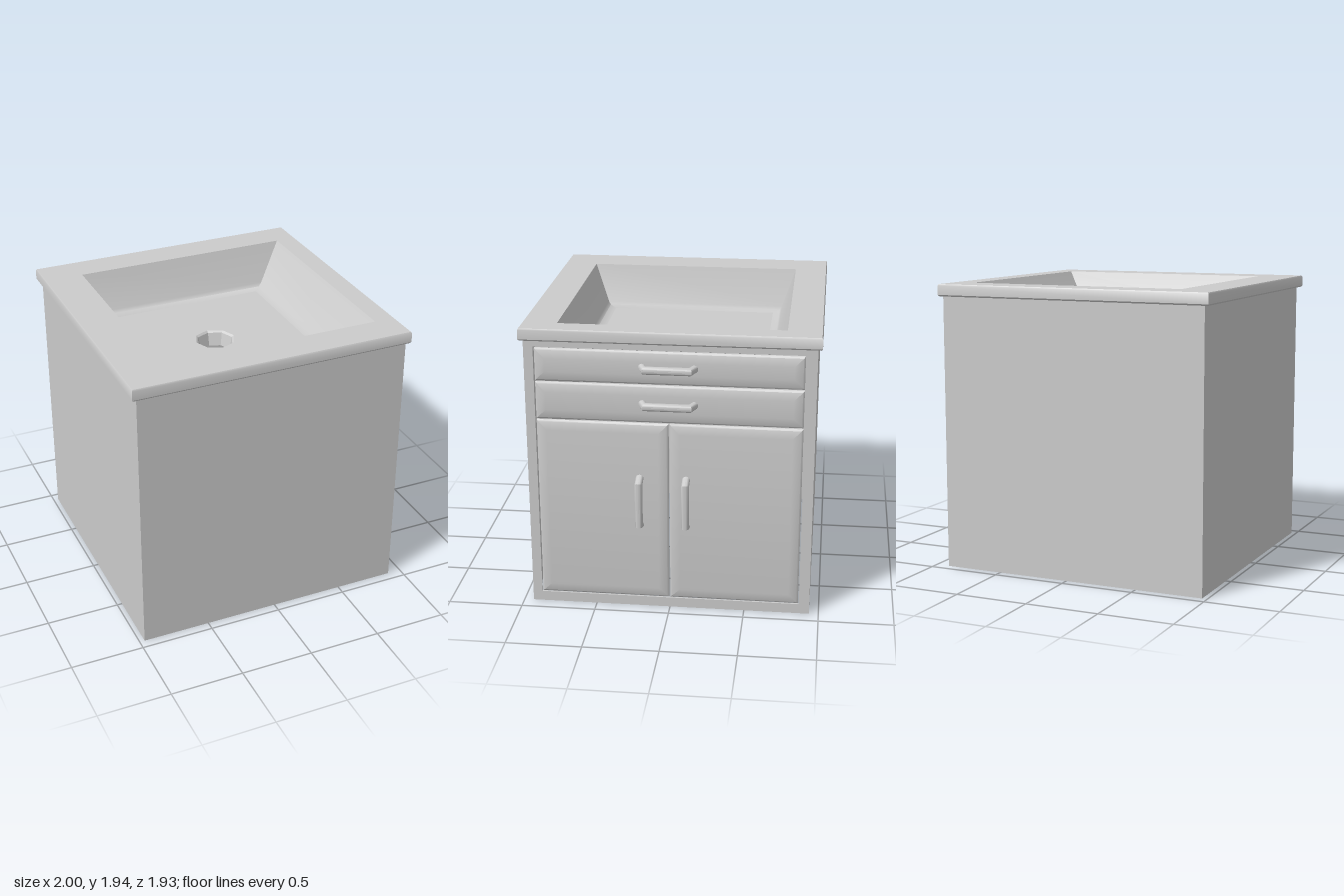
import * as THREE from 'three';
import { toCreasedNormals } from 'three/addons/utils/BufferGeometryUtils.js';

const material = new THREE.MeshStandardMaterial({ color: 0xcccccc, side: THREE.DoubleSide });

function add(parent, name, geometry) {
  const mesh = new THREE.Mesh(geometry, material);
  mesh.name = name;
  parent.add(mesh);
  return mesh;
}

// Skin over a row of closed loops of [x, y, z]; the last loop can be filled.
function loft(loops, { cap = false, crease = 0.6 } = {}) {
  const n = loops[0].length;
  const index = [];
  for (let i = 0; i < loops.length - 1; i++) {
    for (let j = 0; j < n; j++) {
      const a = i * n + j, b = i * n + (j + 1) % n;
      index.push(a, b, a + n, b, b + n, a + n);
    }
  }
  const last = (loops.length - 1) * n;
  if (cap) for (let j = 1; j < n - 1; j++) index.push(last, last + j, last + j + 1);
  const geometry = new THREE.BufferGeometry();
  geometry.setAttribute('position', new THREE.Float32BufferAttribute(loops.flat(2), 3));
  geometry.setIndex(index);
  return toCreasedNormals(geometry, crease);
}

function rectPath(PathType, x0, x1, y0, y1) {
  return new PathType([[x0, y0], [x1, y0], [x1, y1], [x0, y1]].map(p => new THREE.Vector2(...p)));
}

const flatRect = (x0, x1, z0, z1, y) => [[x0, y, z0], [x0, y, z1], [x1, y, z1], [x1, y, z0]];

// Pillow-shaped drawer or door front facing +x
function panel(z0, z1, y0, y1) {
  const g = 0.004;
  const ring = (x, d) => [[y0 + d, z0 + d], [y1 - d, z0 + d], [y1 - d, z1 - d], [y0 + d, z1 - d]]
    .map(([y, z]) => [x, y, z]);
  return loft([ring(0.885, g), ring(0.9, g), ring(0.91, 0.015), ring(0.919, 0.07)], { cap: true });
}

// Bent bar handle along z, standing out in +x, with mitred corners
function handle() {
  const sides = 16, r = 0.026;
  const stations = [ // along, out, then the in-plane half width of the section
    [-0.176, -0.01, -r, 0], [-0.145, 0.069, -0.014, r],
    [0.145, 0.069, 0.014, r], [0.176, -0.01, r, 0],
  ];
  return loft(stations.map(([u, out, du, dOut]) => Array.from({ length: sides }, (_, k) => {
    const t = k / sides * Math.PI * 2, c = Math.cos(t);
    return [out + c * dOut, -r * Math.sin(t), u + c * du];
  })), { crease: 0.7 });
}

export function createModel() {
  const model = new THREE.Group();
  model.name = 'sinkCabinet';

  // Cabinet: three thin walls, open underneath
  const cabinet = new THREE.Group();
  cabinet.name = 'cabinet';
  model.add(cabinet);
  const x0 = -0.965, x1 = 0.905, zSide = 0.937, top = 1.865;
  for (const s of [1, -1]) {
    const side = add(cabinet, s > 0 ? 'frontWall' : 'backWall', new THREE.PlaneGeometry(x1 - x0, top));
    side.position.set((x0 + x1) / 2, top / 2, s * zSide);
    if (s < 0) side.rotation.y = Math.PI;
  }
  const wall = add(cabinet, 'plainEndWall', new THREE.PlaneGeometry(zSide * 2, top));
  wall.position.set(x0, top / 2, 0);
  wall.rotation.y = -Math.PI / 2;

  // Frame around the drawers and doors
  const frameShape = rectPath(THREE.Shape, -zSide, zSide, 0, top);
  frameShape.holes.push(rectPath(THREE.Path, -0.875, 0.868, 0.068, 1.815));
  const frame = new THREE.ExtrudeGeometry(frameShape, { depth: 0.012, bevelEnabled: false });
  frame.rotateY(Math.PI / 2);
  add(cabinet, 'doorFrame', frame).position.x = x1 - 0.012;

  // Drawers and doors
  add(model, 'upperDrawer', panel(-0.865, 0.872, 1.585, 1.812));
  add(model, 'lowerDrawer', panel(-0.865, 0.872, 1.325, 1.585));
  add(model, 'leftHandDoor', panel(0.002, 0.872, 0.07, 1.325));
  add(model, 'rightHandDoor', panel(-0.865, 0.002, 0.07, 1.325));

  // Handles: level on drawers, upright on doors
  for (const [name, y, z, upright] of [
    ['upperDrawerHandle', 1.705, 0.005, false], ['lowerDrawerHandle', 1.46, 0.005, false],
    ['leftHandDoorHandle', 0.775, 0.195, true], ['rightHandDoorHandle', 0.775, -0.11, true],
  ]) {
    const bar = add(model, name, handle());
    bar.position.set(x1, y, z);
    if (upright) bar.rotation.x = Math.PI / 2;
  }

  // Countertop and basin: one profile from the underside, over the rim and down
  const rim = [-0.73, 0.785, -0.74, 0.735], foot = [-0.66, 0.595, -0.635, 0.625];
  const floorY = 1.64, topY = 1.94;
  const basinRing = (t, y) => flatRect(...rim.map((v, i) => v + (foot[i] - v) * t), y);
  add(model, 'countertop', loft([
    flatRect(x0, x1, -zSide, zSide, 1.858),
    flatRect(-0.992, 0.922, -0.957, 0.957, 1.858),
    flatRect(-1, 0.93, -0.965, 0.965, 1.868),
    flatRect(-1, 0.93, -0.965, 0.965, 1.93),
    flatRect(-0.994, 0.924, -0.959, 0.959, topY),
    basinRing(0, topY),
  ]));
  const inner = [foot[0] + 0.05, foot[1] - 0.05, foot[2] + 0.05, foot[3] - 0.05];
  add(model, 'basinWalls', loft([
    basinRing(0, topY), basinRing(0.88, floorY + 0.035), basinRing(1.02, floorY + 0.011),
    flatRect(...inner, floorY),
  ], { crease: 0.8 }));

  // Basin floor with an eight-sided drain
  const cx = -0.037;
  const octagon = (r, y) => Array.from({ length: 8 }, (_, k) => {
    const t = k * Math.PI / 4;
    return [cx + r * Math.sin(t), y, r * Math.cos(t)];
  });
  const floorShape = rectPath(THREE.Shape, inner[0], inner[1], -inner[3], -inner[2]);
  floorShape.holes.push(new THREE.Path(octagon(0.14, 0).map(p => new THREE.Vector2(p[0], -p[2]))));
  const floor = new THREE.ShapeGeometry(floorShape);
  floor.rotateX(-Math.PI / 2);
  add(model, 'basinFloor', floor).position.y = floorY;
  add(model, 'drain', loft([
    octagon(0.14, floorY), octagon(0.126, floorY - 0.012), octagon(0.105, floorY - 0.1),
  ], { crease: 0.3 }));

  return model;
}
